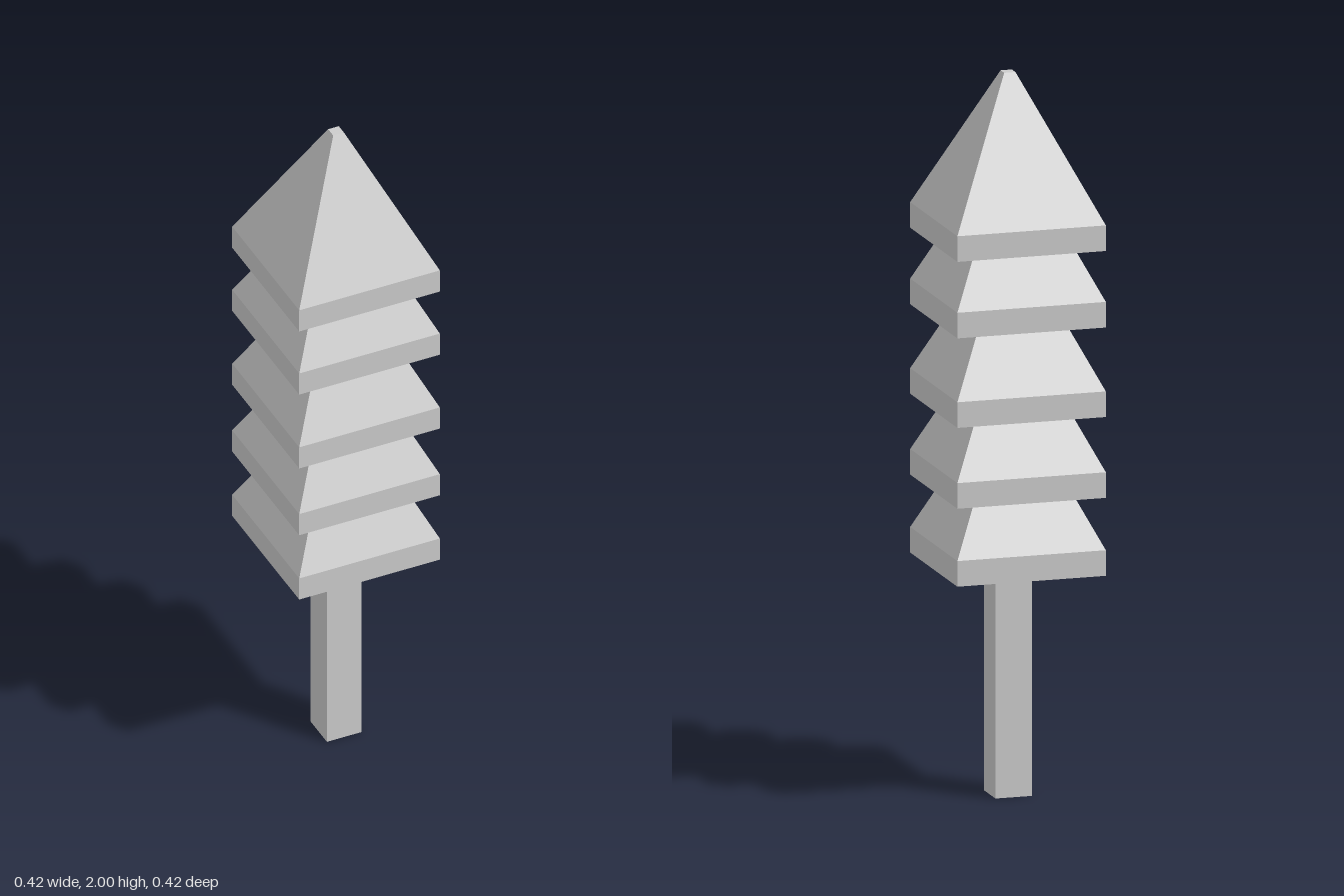
import * as THREE from 'three';

const HALF = 0.21;       // half width of a tier's rim
const TIP = 0.016;       // half width of the blunt tip
const RIM = 0.071;       // height of the vertical rim
const TIER = 0.466;      // full height of a tier
const TIER_BASES = [0.634, 0.85, 1.074, 1.322, 1.534];

export function createModel() {
  const model = new THREE.Group();
  model.name = 'tree';
  const material = new THREE.MeshStandardMaterial({ color: 0xcccccc, flatShading: true });

  // Square trunk
  const trunkHeight = TIER_BASES[0] + 0.02;
  const trunk = new THREE.Mesh(new THREE.BoxGeometry(0.104, trunkHeight, 0.104), material);
  trunk.name = 'trunk';
  trunk.position.y = trunkHeight / 2;
  model.add(trunk);

  // Foliage tier: square rim below a truncated pyramid, closed at both ends
  const corner = Math.SQRT2;
  const profile = [
    [0, 0], [HALF * corner, 0], [HALF * corner, RIM], [TIP * corner, TIER], [0, TIER],
  ].map(([r, y]) => new THREE.Vector2(r, y));
  const tierGeometry = new THREE.LatheGeometry(profile, 4, Math.PI / 4);

  // Equal tiers stacked so each tip is hidden in the tier above
  TIER_BASES.forEach((y, i) => {
    const tier = new THREE.Mesh(tierGeometry, material);
    tier.name = `foliageTier${i + 1}`;
    tier.position.y = y;
    model.add(tier);
  });

  return model;
}
